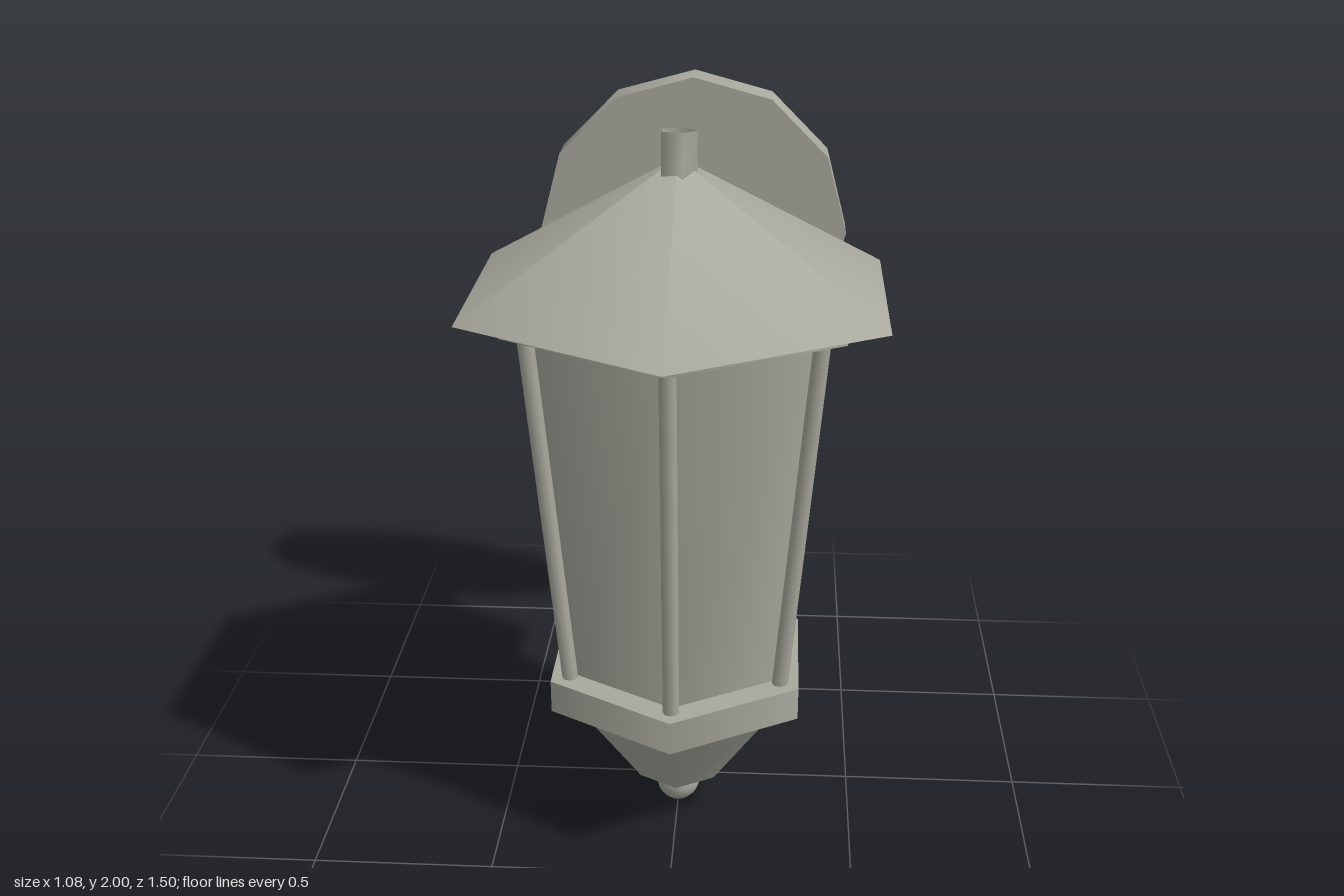
import * as THREE from 'three';

export function createModel() {
  const model = new THREE.Group();
  const metal = new THREE.MeshStandardMaterial({ color: 0xa8a89e });
  metal.name = 'warm grey metal';
  const tubeMetal = new THREE.MeshStandardMaterial({ color: 0xa8a89e, side: THREE.DoubleSide });
  tubeMetal.name = 'warm grey open tube';

  const add = (name, geometry, parent = model, material = metal) => {
    const mesh = new THREE.Mesh(geometry, material);
    mesh.name = name;
    parent.add(mesh);
    return mesh;
  };

  // Lantern body: hexagonal, with corners towards front and back
  const lantern = new THREE.Group();
  lantern.name = 'lantern';
  lantern.position.z = 0.125;
  model.add(lantern);

  const hexPart = (name, rTop, rBottom, y0, y1) => {
    const part = add(name, new THREE.CylinderGeometry(rTop, rBottom, y1 - y0, 6), lantern);
    part.position.y = (y0 + y1) / 2;
  };
  hexPart('roof', 0, 0.622, 1.57, 1.925);
  hexPart('upperRing', 0.503, 0.503, 1.52, 1.57);
  hexPart('glass', 0.415, 0.315, 0.5, 1.52);
  hexPart('lowerRing', 0.395, 0.395, 0.405, 0.5);
  hexPart('lowerCone', 0.325, 0.123, 0.11, 0.405);
  add('ballFinial', new THREE.SphereGeometry(0.063, 14, 10), lantern).position.y = 0.065;

  // Slanted rods along the six corners
  const up = new THREE.Vector3(0, 1, 0);
  for (let i = 0; i < 6; i++) {
    const a = (i * Math.PI) / 3;
    const at = (r, y) => new THREE.Vector3(r * Math.sin(a), y, r * Math.cos(a));
    const bottom = at(0.335, 0.49);
    const top = at(0.433, 1.53);
    const axis = top.clone().sub(bottom);
    const rod = add('cornerRod', new THREE.CylinderGeometry(0.022, 0.022, axis.length(), 8), lantern);
    rod.position.copy(bottom).add(top).multiplyScalar(0.5);
    rod.quaternion.setFromUnitVectors(up, axis.normalize());
  }

  // Five-sided arm: from the wall plate through the lantern and out at the top
  const path = new THREE.CatmullRomCurve3([
    [-0.66, 1.36], [-0.5, 1.288], [-0.31, 1.27], [-0.24, 1.32],
    [-0.08, 1.45], [0.08, 1.6], [0.145, 1.8], [0.128, 1.993],
  ].map(([z, y]) => new THREE.Vector3(0, y, z)));
  add('arm', new THREE.TubeGeometry(path, 16, 0.05, 5), model, tubeMetal);

  // Twelve-sided wall plate
  const plate = add('wallPlate', new THREE.CylinderGeometry(0.461, 0.461, 0.12, 12));
  plate.rotation.x = Math.PI / 2;
  plate.position.set(0, 1.515, -0.69);

  return model;
}
